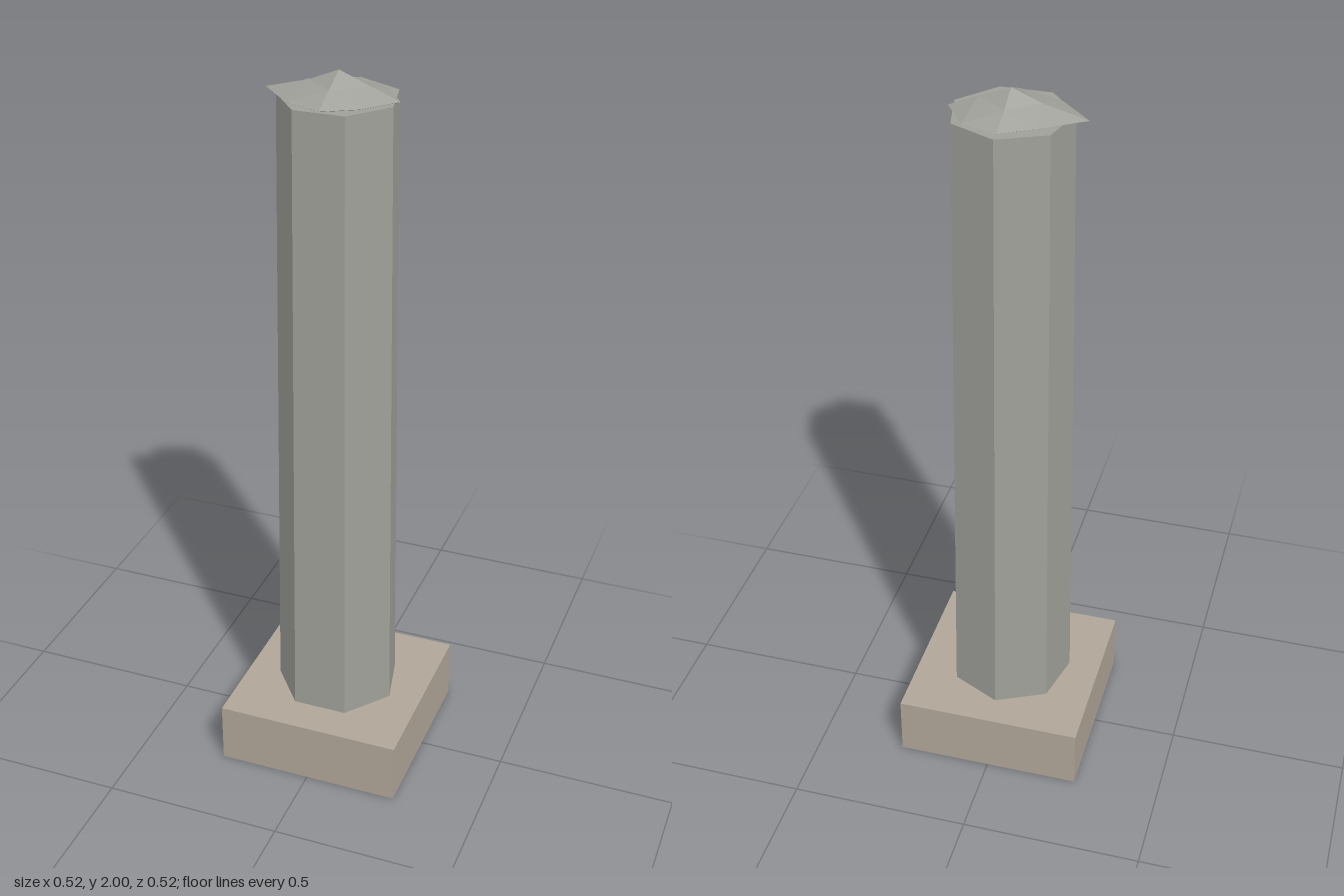
import * as THREE from 'three';

const stone = (color, side = THREE.FrontSide) =>
  new THREE.MeshStandardMaterial({ color, side, flatShading: true });

function addPart(group, name, geometry, material, y) {
  const mesh = new THREE.Mesh(geometry, material);
  mesh.name = name;
  mesh.position.y = y;
  group.add(mesh);
  return mesh;
}

// Square plinth, hollow and open underneath
function plinthGeometry(width, height) {
  const g = new THREE.BoxGeometry(width, height, width);
  const index = Array.from(g.index.array);
  index.splice(18, 6); // drop the bottom face
  g.setIndex(index);
  g.clearGroups();
  return g;
}

// Flattened, uneven rock: a subdivided octahedron with its rings reshaped.
// Radii run in angle steps from +x towards +z.
function capGeometry() {
  const rim = [0.158, 0.122, 0.136, 0.14, 0.193, 0.113, 0.13, 0.136];
  const shoulder = [0.08, 0.071, 0.077, 0.062];
  const g = new THREE.OctahedronGeometry(1, 1);
  const p = g.attributes.position;
  for (let i = 0; i < p.count; i++) {
    const x = p.getX(i), y = p.getY(i), z = p.getZ(i);
    const a = Math.atan2(z, x);
    const k = (Math.round(a / (Math.PI / 4)) + 8) % 8;
    const h = Math.abs(y);
    const r = h < 0.1 ? rim[k] : h < 0.9 ? shoulder[k >> 1] : 0;
    const height = h < 0.1 ? 0 : h < 0.9 ? 0.031 : 0.063;
    p.setXYZ(i, r * Math.cos(a), Math.sign(y) * height, r * Math.sin(a));
  }
  g.computeVertexNormals();
  return g;
}

export function createModel() {
  const group = new THREE.Group();
  group.name = 'stonePillar';
  const grey = stone(0xa0a09a);

  addPart(group, 'plinth', plinthGeometry(0.52, 0.175),
    stone(0xb0a698, THREE.DoubleSide), 0.0875);

  // Seven-sided tapering shaft with a corner at the back
  const shaft = new THREE.CylinderGeometry(0.156, 0.174, 1.76, 7);
  shaft.rotateY(Math.PI);
  addPart(group, 'shaft', shaft, grey, 0.175 + 0.88);

  addPart(group, 'cap', capGeometry(), grey, 1.937);
  return group;
}
